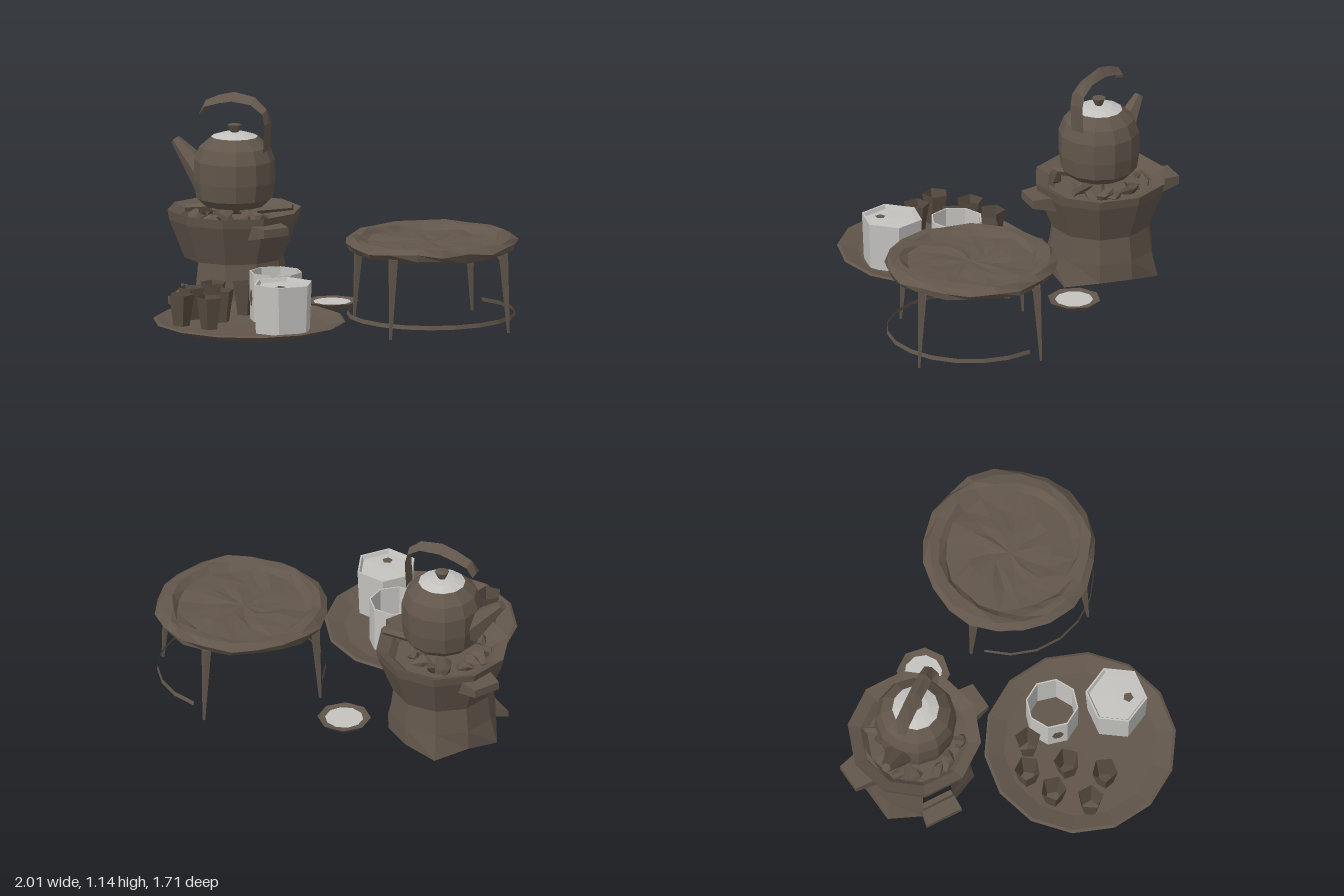
import * as THREE from 'three';

const mat = (name, color, side = THREE.FrontSide) => {
  const m = new THREE.MeshStandardMaterial({ color, flatShading: true, side });
  m.name = name;
  return m;
};

export function createModel() {
  const brown = mat('weathered brown', 0x62564b, THREE.DoubleSide);
  const shell = mat('stove brown', 0x62564b);
  const dark = mat('dark brown', 0x574c41, THREE.DoubleSide);
  const pale = mat('pale metal', 0xc4c3c0, THREE.DoubleSide);
  const root = new THREE.Group();

  const group = (name, x, z, parent = root) => {
    const g = new THREE.Group();
    g.name = name;
    g.position.set(x, 0, z);
    parent.add(g);
    return g;
  };
  const add = (parent, name, geo, material, x = 0, y = 0, z = 0) => {
    const m = new THREE.Mesh(geo, material);
    m.name = name;
    m.position.set(x, y, z);
    parent.add(m);
    return m;
  };
  const lathe = (pts, n, start = 0, sweep = Math.PI * 2) =>
    new THREE.LatheGeometry(pts.map(p => new THREE.Vector2(...p)), n, start, sweep);

  // Dents a surface; matching positions always get the same offset
  const dent = (geo, amount) => {
    const p = geo.attributes.position;
    const noise = (x, y, z, k) => {
      const r = v => Math.round(v * 1000);
      const s = Math.sin(r(x) * 12.9 + r(y) * 78.2 + r(z) * 37.7 + k * 19.1) * 4375.5;
      return (s - Math.floor(s) - 0.5) * 2 * amount;
    };
    for (let i = 0; i < p.count; i++) {
      const v = [p.getX(i), p.getY(i), p.getZ(i)];
      p.setXYZ(i, v[0] + noise(...v, 1), v[1] + noise(...v, 2), v[2] + noise(...v, 3));
    }
    geo.computeVertexNormals();
    return geo;
  };
  // Tapered rod between two points
  const rod = (parent, name, a, b, r0, r1, sides, material) => {
    const A = new THREE.Vector3(...a), B = new THREE.Vector3(...b);
    const d = B.clone().sub(A);
    const m = add(parent, name, new THREE.CylinderGeometry(r1, r0, d.length(), sides), material);
    m.position.copy(A).add(B).multiplyScalar(0.5);
    m.quaternion.setFromUnitVectors(new THREE.Vector3(0, 1, 0), d.normalize());
    return m;
  };

  // Stove foot: ten-sided, with four corners drawn out into pointed feet
  const stove = group('stove', -0.61, -0.37);
  const side = Math.PI / 5;
  const foot = lathe([[0, 0.05], [0.285, 0.04], [0.28, 0.14]], 10, -side / 2);
  const fp = foot.attributes.position;
  for (const k of [1, 3, 6, 8]) {
    const i = k * 3 + 1;
    fp.setXYZ(i, fp.getX(i) * 1.11, 0.005, fp.getZ(i) * 1.11);
  }
  add(stove, 'stoveFoot', foot, shell);

  // Stove body with one side panel left open for fuel, and fire bowl
  add(stove, 'stoveBody', lathe([[0.28, 0.14], [0.262, 0.275]], 9, -side / 2, side * 9), shell);
  add(stove, 'fireBowl', lathe([[0, 0.275], [0.262, 0.275], [0.343, 0.48], [0.352, 0.53],
    [0.285, 0.5], [0.25, 0.465], [0, 0.47]], 10, -side / 2), shell);
  const ledge = group('fuelLedge', 0, 0, stove);
  ledge.rotation.y = -side;
  const ledgeGeo = new THREE.BoxGeometry(0.18, 0.07, 0.1);
  const lp = ledgeGeo.attributes.position;
  for (let i = 0; i < lp.count; i++) if (lp.getZ(i) > 0) lp.setXYZ(i, lp.getX(i) * 1.15, lp.getY(i) * 0.5 - 0.045, 0.05);
  add(ledge, 'ledge', ledgeGeo, shell, 0, 0.095, 0.285);

  // Two tapered grips on opposite sides of the bowl
  for (const s of [-1, 1]) {
    const grip = group('stoveGrip', 0, 0, stove);
    grip.rotation.y = -0.53 + (s < 0 ? Math.PI : 0);
    const geo = new THREE.BoxGeometry(0.16, 0.09, 0.2);
    const p = geo.attributes.position;
    for (let i = 0; i < p.count; i++) if (p.getX(i) > 0) p.setXYZ(i, p.getX(i), p.getY(i) * 0.5 + 0.015, p.getZ(i) * 0.75);
    add(grip, 'grip', geo, shell, 0.335, 0.45, 0);
  }

  // Coals in the bowl and rests under the kettle
  for (let i = 0; i < 16; i++) {
    const a = i * 2.4, r = 0.1 + 0.15 * ((i * 0.37) % 1);
    const c = add(stove, 'coal', dent(new THREE.IcosahedronGeometry(0.045, 0), 0.012),
      i % 4 ? brown : dark, Math.sin(a) * r, 0.485, Math.cos(a) * r);
    c.rotation.set(i, i * 1.7, 0);
    c.scale.set(1.2, 0.7, 1);
  }
  for (const [a, r, y] of [[0.3, 0.26, 0.52], [1.75, 0.32, 0.555], [3.5, 0.26, 0.52], [5, 0.26, 0.52]]) {
    rod(stove, 'kettleRest', [Math.sin(a) * r, y, Math.cos(a) * r],
      [Math.sin(a) * 0.13, 0.53, Math.cos(a) * 0.13], 0.018, 0.025, 4, brown);
  }

  // Kettle
  const kettle = group('kettle', -0.605, -0.365);
  add(kettle, 'kettleBody', lathe([[0, 0.55], [0.16, 0.55], [0.2, 0.59], [0.213, 0.68], [0.212, 0.79],
    [0.185, 0.86], [0.122, 0.913], [0, 0.913]], 12), brown);
  add(kettle, 'kettleLid', lathe([[0.123, 0.913], [0.07, 0.93], [0, 0.937]], 12), pale);
  add(kettle, 'lidKnob', lathe([[0, 0.925], [0.015, 0.925], [0.038, 0.975], [0, 0.98]], 6), brown);
  rod(kettle, 'spout', [-0.16, 0.67, 0], [-0.35, 0.865, 0], 0.085, 0.026, 6, brown);

  // Arched strap handle with a raised centre line, fixed on one side only
  const path = [[-0.2, 1.02], [-0.17, 1.09], [-0.09, 1.125], [0, 1.148], [0.12, 1.13], [0.19, 1.07], [0.2, 1.0], [0.19, 0.85]];
  const fold = [0.01, 0.03, 0.04, 0.045, 0.035, 0.02, 0.008, 0.004];
  const strap = new THREE.PlaneGeometry(1, 1, path.length - 1, 2);
  const sp = strap.attributes.position;
  for (let i = 0; i < sp.count; i++) {
    const k = i % path.length, row = Math.floor(i / path.length) - 1;
    const drop = Math.abs(row) * fold[k];
    sp.setXYZ(i, path[k][0] * (1 - drop * 2), path[k][1] - drop, row * 0.039);
  }
  strap.computeVertexNormals();
  add(kettle, 'kettleHandle', strap, brown);

  // Round table with a ragged raised rim
  const table = group('table', 0.545, -0.385);
  add(table, 'tableTop', dent(lathe([[0, 0.44], [0.2, 0.44], [0.36, 0.43], [0.38, 0.41], [0.435, 0.42],
    [0.452, 0.455], [0.42, 0.482], [0.37, 0.482], [0.335, 0.455], [0.22, 0.455], [0.11, 0.455], [0, 0.455]], 20), 0.011), brown);
  for (let i = 0; i < 4; i++) {
    const a = i * Math.PI / 2, s = Math.sin(a), c = Math.cos(a);
    rod(table, 'tableLeg', [s * 0.455, 0.01, c * 0.455], [s * 0.425, 0.43, c * 0.425], 0.008, 0.028, 4, brown);
    rod(table, 'legBracket', [s * 0.425, 0.37, c * 0.425], [s * 0.385, 0.43, c * 0.385], 0.008, 0.014, 4, brown);
  }
  add(table, 'legHoop', lathe([[0.442, 0.068], [0.437, 0.09]], 14, Math.PI / 4 - 2.2, 4.4), brown);

  // Small dish
  const dish = group('dish', -0.13, -0.555);
  add(dish, 'dishBody', lathe([[0, 0.015], [0.1, 0.015], [0.14, 0.05], [0.1, 0.04], [0, 0.04]], 8, 0.4), brown);
  add(dish, 'dishFilling', lathe([[0.1, 0.046], [0, 0.047]], 10), pale);

  // Serving tray
  const tray = group('tray', -0.135, 0.36);
  add(tray, 'trayBody', lathe([[0, 0.055], [0.38, 0.06], [0.505, 0.105], [0.49, 0.112], [0.4, 0.085], [0, 0.075]], 14, 0.15), brown);

  // Six five-sided open cups
  [[-0.43, 0.2], [-0.285, 0.13], [-0.47, 0.37], [-0.3, 0.365], [-0.43, 0.565], [-0.26, 0.565]].forEach(([x, z], i) => {
    const cup = group('cup', x, z);
    cup.rotation.y = i * 0.8;
    add(cup, 'cupBody', lathe([[0, 0.082], [0.045, 0.082], [0.07, 0.25]], 5), dark);
  });

  // Two pale canisters, one open and one lidded, with brown stains
  const open = group('openCanister', -0.08, 0.17);
  add(open, 'canisterWall', lathe([[0.137, 0.08], [0.139, 0.335], [0.131, 0.335], [0.129, 0.085]], 8, 0.3), pale);
  for (const [a, y, tall] of [[0.3 - Math.PI * 3 / 8, 0.2, 1.5], [0.3 + Math.PI / 8, 0.23, 0.8]]) {
    const stain = add(open, 'wallStain', new THREE.CircleGeometry(0.032, 6), brown,
      Math.sin(a) * 0.131, y, Math.cos(a) * 0.131);
    stain.rotation.y = a;
    stain.scale.y = tall;
  }
  const closed = group('lidCanister', 0.11, 0.45);
  add(closed, 'canisterBody', lathe([[0, 0.08], [0.152, 0.08], [0.163, 0.34], [0.153, 0.34], [0.143, 0.32], [0, 0.325]], 6, 0.35), pale);
  const stain = add(closed, 'lidStain', new THREE.CircleGeometry(0.028, 5), brown, 0.02, 0.329, 0.06);
  stain.rotation.x = -Math.PI / 2;

  return root;
}
